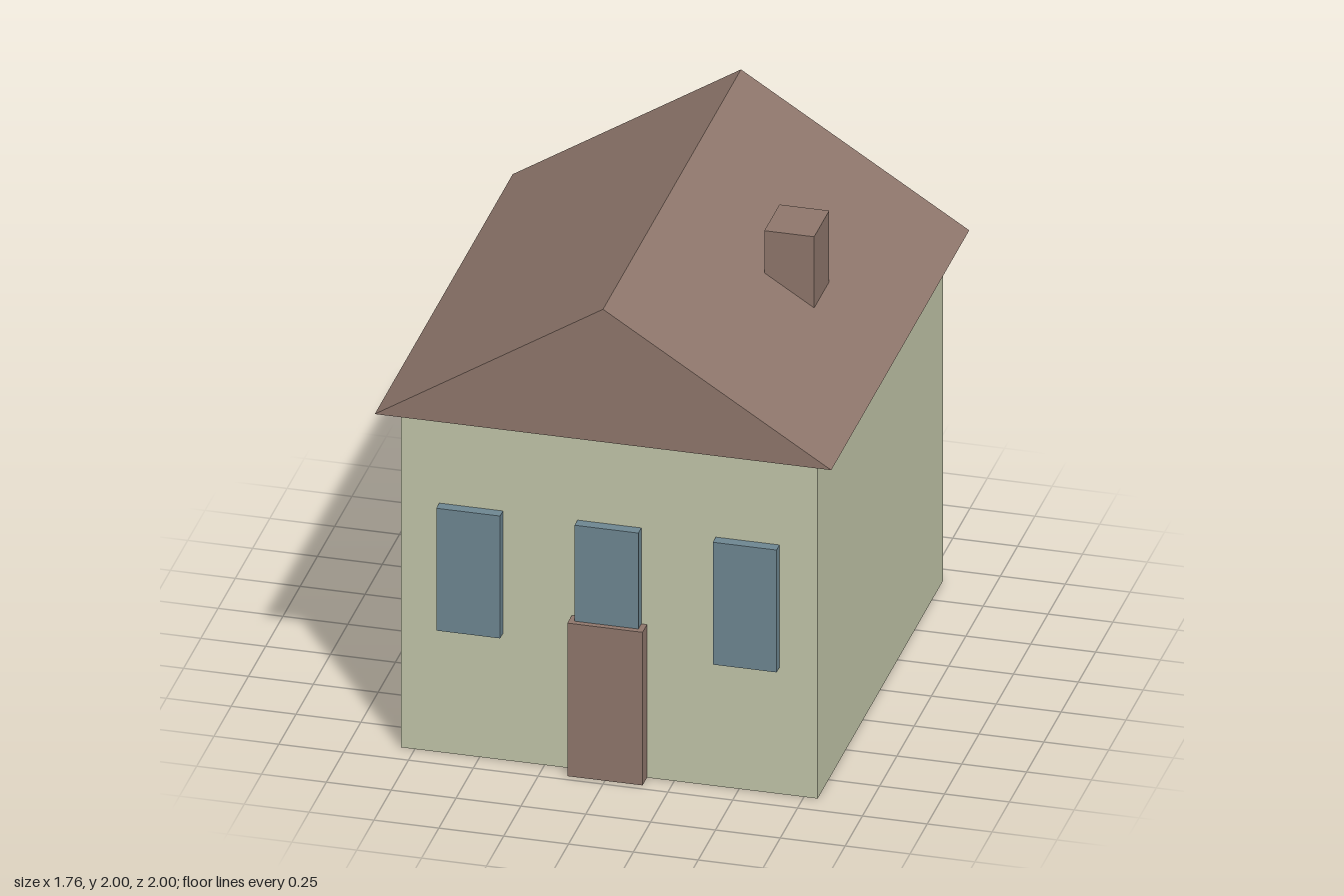
import * as THREE from 'three';

const material = (name, color) => {
  const m = new THREE.MeshStandardMaterial({ color });
  m.name = name;
  return m;
};

export function createModel() {
  const house = new THREE.Group();
  house.name = 'house';

  const wall = material('pale green wall', 0xc2c6a9);
  const brown = material('brown', 0x8f776c);
  const glass = material('blue grey glass', 0x6e8792);

  // Box given by its lower and upper corners
  const box = (name, mat, [x0, y0, z0], [x1, y1, z1]) => {
    const mesh = new THREE.Mesh(new THREE.BoxGeometry(x1 - x0, y1 - y0, z1 - z0), mat);
    mesh.position.set((x0 + x1) / 2, (y0 + y1) / 2, (z0 + z1) / 2);
    mesh.name = name;
    house.add(mesh);
  };

  const eaves = 1.437;
  const wallZ = 0.907;
  box('walls', wall, [-0.803, 0, -wallZ], [0.803, eaves, wallZ]);

  // Gabled roof, a triangular prism with overhang
  const gable = new THREE.Shape();
  gable.moveTo(-0.88, eaves);
  gable.lineTo(0.88, eaves);
  gable.lineTo(0, 1.995);
  gable.closePath();
  const roofGeometry = new THREE.ExtrudeGeometry(gable, { depth: 2, bevelEnabled: false });
  roofGeometry.translate(0, 0, -1);
  const roof = new THREE.Mesh(roofGeometry, brown);
  roof.name = 'roof';
  house.add(roof);

  // Chimney sunk into the right-hand slope
  box('chimney', brown, [0.385, 1.55, -0.109], [0.577, 1.928, 0.109]);

  // Three raised windows on the front and on the back
  for (const [side, z0, z1] of [['front', wallZ, 0.95], ['back', -0.95, -wallZ]]) {
    [-0.533, 0, 0.533].forEach((x, i) => {
      box(`${side}Window${i + 1}`, glass, [x - 0.123, 0.532, z0], [x + 0.123, 1.046, z1]);
    });
  }

  // Front door, standing proud of the middle window
  box('door', brown, [-0.145, 0, wallZ], [0.145, 0.643, 0.972]);

  return house;
}
